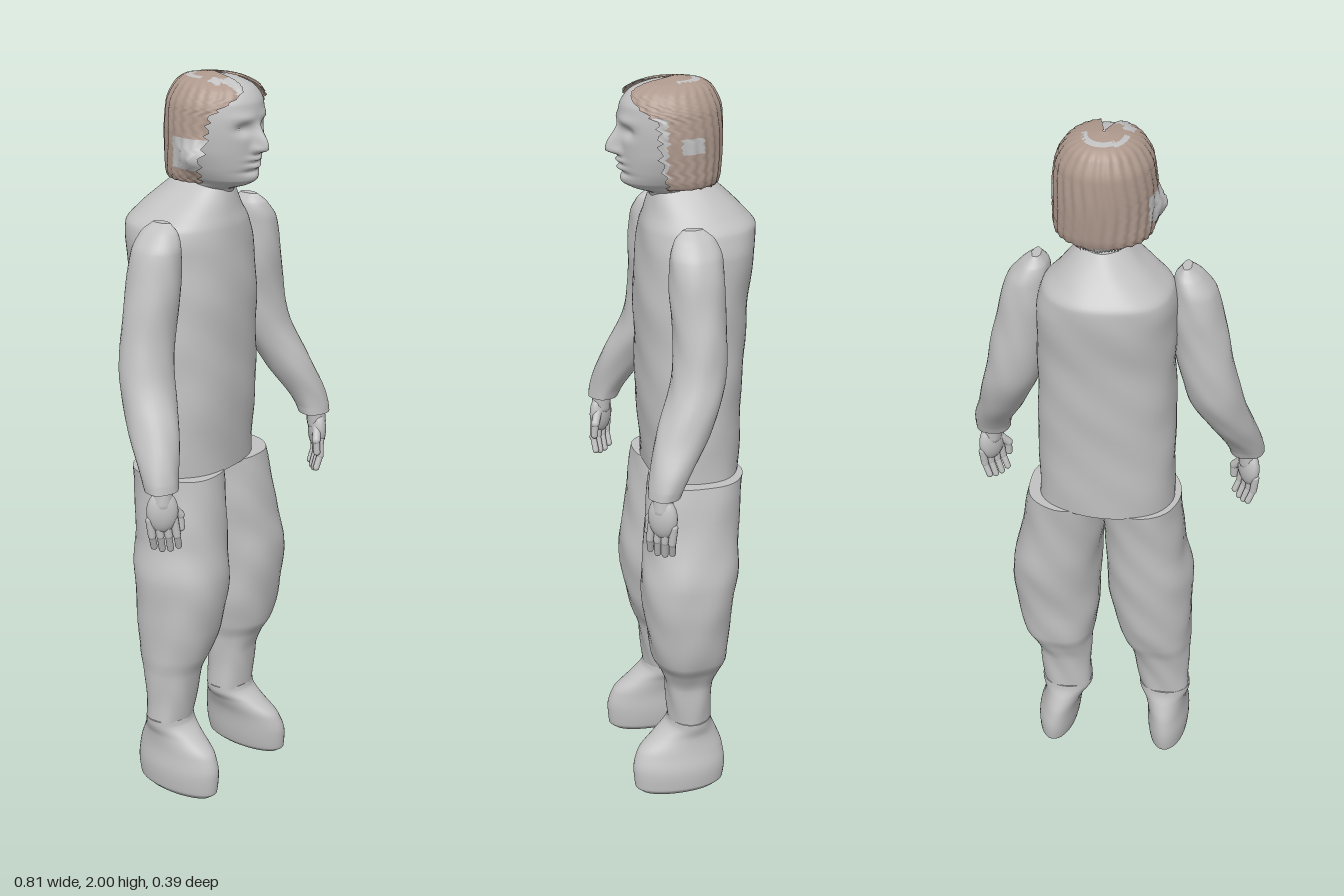
import * as THREE from 'three';

const cloth = new THREE.MeshStandardMaterial({ color: 0xc2c2c2 });
cloth.name = 'lightGrey';
const greyOpen = new THREE.MeshStandardMaterial({ color: 0xc2c2c2, side: THREE.DoubleSide });
greyOpen.name = 'lightGreyPatch';
const hairBrown = new THREE.MeshStandardMaterial({ color: 0xae998d, side: THREE.DoubleSide });
hairBrown.name = 'hairBrown';

// Smooth, overshoot-limited interpolation of rows [y, centreX, halfWidth, frontZ, backZ]
function sampleRows(rows, steps) {
  const slope = (i, k) => {
    const d = (a, b) => (rows[b][k] - rows[a][k]) / (rows[b][0] - rows[a][0]);
    if (i === 0) return d(0, 1);
    if (i === rows.length - 1) return d(i - 1, i);
    const l = d(i - 1, i), r = d(i, i + 1);
    return l * r <= 0 ? 0 : (2 * l * r) / (l + r);
  };
  const out = [];
  for (let i = 0; i < rows.length - 1; i++) {
    const A = rows[i], B = rows[i + 1], h = B[0] - A[0];
    for (let s = i ? 1 : 0; s <= steps; s++) {
      const t = s / steps, t2 = t * t, t3 = t2 * t;
      out.push(A.map((a, k) => k === 0 ? a + h * t
        : (2 * t3 - 3 * t2 + 1) * a + (t3 - 2 * t2 + t) * h * slope(i, k)
          + (3 * t2 - 2 * t3) * B[k] + (t3 - t2) * h * slope(i + 1, k)));
    }
  }
  return out;
}

// Point on a ring; angle 0 faces the front, power above 2 makes the ring boxier
function ringPoint([y, cx, rx, zf, zb], a, power = 2) {
  const f = (v) => Math.sign(v) * Math.abs(v) ** (2 / power);
  return new THREE.Vector3(cx + rx * f(Math.sin(a)), y, (zf + zb) / 2 + (zf - zb) / 2 * f(Math.cos(a)));
}

// Closed body through stacked rings, with flat end caps and an optional surface rule
function loft(name, rows, { sides = 40, steps = 6, power = 2, rule } = {}) {
  const rings = sampleRows(rows, steps), pos = [], idx = [];
  const add = (p) => pos.push(p.x, p.y, p.z) / 3 - 1;
  rings.forEach((r) => {
    for (let j = 0; j < sides; j++) {
      const a = j / sides * Math.PI * 2, p = ringPoint(r, a, power);
      if (rule) rule(p, a);
      add(p);
    }
  });
  for (let i = 0; i < rings.length - 1; i++) for (let j = 0; j < sides; j++) {
    const a = i * sides + j, b = i * sides + (j + 1) % sides;
    idx.push(a, b, a + sides, b, b + sides, a + sides);
  }
  [0, rings.length - 1].forEach((i) => {
    const r = rings[i], c = add(new THREE.Vector3(r[1], r[0], (r[3] + r[4]) / 2)), start = c + 1;
    for (let j = 0; j < sides; j++) add(new THREE.Vector3().fromArray(pos, (i * sides + j) * 3));
    for (let j = 0; j < sides; j++) {
      const a = start + j, b = start + (j + 1) % sides;
      idx.push(c, ...(i ? [a, b] : [b, a]));
    }
  });
  const g = new THREE.BufferGeometry();
  g.setAttribute('position', new THREE.Float32BufferAttribute(pos, 3));
  g.setIndex(idx);
  g.computeVertexNormals();
  const m = new THREE.Mesh(g, cloth);
  m.name = name;
  return m;
}

// Soft cloth folds
const folds = (amp) => (p, a) => {
  const w = amp * Math.sin(p.y * 31 + 2 * Math.sin(a * 2)) * Math.sin(a * 3 + p.y * 9);
  p.x += w * Math.sin(a);
  p.z += w * Math.cos(a);
};

const bell = (v, c, w) => Math.exp(-(((v - c) / w) ** 2));

// Nose, brow, eye sockets, lips and chin pushed out of the head
function faceRule(p) {
  if (p.z < 0.06) return;
  const x = Math.abs(p.x - 0.015), y = p.y;
  const bridge = THREE.MathUtils.smoothstep(1.895 - y, 0, 0.07) * THREE.MathUtils.smoothstep(y, 1.802, 1.82);
  p.z += 0.036 * bridge * bell(x, 0, 0.014)
    + 0.008 * bell(x, 0.016, 0.008) * bell(y, 1.818, 0.01)
    - 0.014 * bell(x, 0.042, 0.022) * bell(y, 1.872, 0.015)
    + 0.005 * bell(x, 0.04, 0.03) * bell(y, 1.9, 0.012)
    + bell(x, 0, 0.026) * (0.012 * bell(y, 1.794, 0.007) + 0.011 * bell(y, 1.774, 0.007) - 0.005 * bell(y, 1.784, 0.004))
    + 0.006 * bell(x, 0, 0.03) * bell(y, 1.742, 0.014)
    - 0.006 * bell(x, 0, 0.04) * bell(y, 1.76, 0.007);
}

// Places where the hair shell is bare
function isBare({ x, y, z }) {
  const arch = Math.hypot((x - 0.015) / 0.055, (z - 0.025) / 0.07);
  if (y > 1.93) {
    return (z < 0.025 && arch > 0.78 && arch < 1.06)
      || (x > -0.05 && x < -0.02 && z > 0.05 && z < 0.085)
      || (x > -0.035 && x < 0.03 && z > 0.08);
  }
  return (x > 0.08 && y > 1.825 && y < 1.867 && z > -0.03 && z < 0.03)
    || (x > 0.09 && z > 0.065 && y > 1.76 && y < 1.92)
    || (x < -0.08 && y > 1.775 && y < 1.85 && z > -0.02)
    || (z < -0.05 && y < 1.735 && x > -0.05 && x < 0.04);
}

// Bobbed hair: an open shell with a gap for the face and a ragged hem
function makeHair() {
  const rings = sampleRows([
    [1.712, 0.02, 0.112, 0.11, -0.085], [1.76, 0.02, 0.128, 0.14, -0.1], [1.85, 0.02, 0.13, 0.165, -0.105],
    [1.92, 0.02, 0.123, 0.168, -0.102], [1.965, 0.02, 0.1, 0.15, -0.085], [1.988, 0.02, 0.068, 0.105, -0.06],
    [2.0, 0.02, 0.003, 0.025, 0.018]], 8);
  const n = 120, pts = [], brown = [], bare = [];
  rings.forEach((r, i) => {
    const y = r[0];
    const edge = (1.15 - 0.85 * THREE.MathUtils.smoothstep(y, 1.9, 1.985)) * (1 + 0.06 * Math.sin(i * 2.3));
    for (let j = 0; j <= n; j++) {
      const a = edge + (Math.PI * 2 - 2 * edge) * j / n, p = ringPoint(r, a);
      const strand = 0.002 * Math.sin(a * 26 + Math.sin(y * 30)) * Math.min(1, (2 - y) / 0.03);
      p.x += strand * Math.sin(a);
      p.z += strand * Math.cos(a);
      if (p.x < -0.05 && p.z > 0) p.x -= 0.028 * bell(y, 1.8, 0.035) * bell(p.z, 0.06, 0.04);
      if (i < 4) p.y += 0.014 * (1 - i / 4) * Math.abs(Math.sin(j * 1.7)) + 0.02 * (1 - i / 4) * Math.abs(Math.sin(a));
      pts.push(p);
    }
  });
  for (let i = 0; i < rings.length - 1; i++) for (let j = 0; j < n; j++) {
    const a = i * (n + 1) + j, c = a + n + 1;
    const mid = pts[a].clone().add(pts[c + 1]).multiplyScalar(0.5);
    (isBare(mid) ? bare : brown).push(a, a + 1, c, a + 1, c + 1, c);
  }
  const g = new THREE.BufferGeometry().setFromPoints(pts);
  g.setIndex([...brown, ...bare]);
  g.addGroup(0, brown.length, 0);
  g.addGroup(brown.length, bare.length, 1);
  g.computeVertexNormals();
  const m = new THREE.Mesh(g, [hairBrown, greyOpen]);
  m.name = 'hair';
  return m;
}

function capsule(name, a, b, r) {
  const A = new THREE.Vector3(...a), B = new THREE.Vector3(...b), d = B.clone().sub(A);
  const m = new THREE.Mesh(new THREE.CapsuleGeometry(r, d.length(), 5, 12), cloth);
  m.position.copy(A).add(B).multiplyScalar(0.5);
  m.quaternion.setFromUnitVectors(new THREE.Vector3(0, 1, 0), d.normalize());
  m.name = name;
  return m;
}

// s is +1 for the left side, -1 for the right
function makeArm(s) {
  const arm = new THREE.Group();
  arm.name = s > 0 ? 'leftArm' : 'rightArm';
  arm.add(loft('sleeve', [
    [1.005, 0.357, 0.048, 0.175, 0.092], [1.03, 0.354, 0.05, 0.172, 0.08], [1.15, 0.312, 0.062, 0.14, 0.0],
    [1.28, 0.268, 0.074, 0.09, -0.05], [1.4, 0.243, 0.074, 0.078, -0.06], [1.5, 0.225, 0.07, 0.083, -0.06],
    [1.58, 0.215, 0.057, 0.08, -0.055], [1.625, 0.2, 0.037, 0.065, -0.04], [1.65, 0.193, 0.012, 0.04, -0.012]]
    .map(([y, x, ...r]) => [y, x * s, ...r]), { sides: 32, rule: folds(0.002) }));
  // Hand
  const palm = new THREE.Mesh(new THREE.SphereGeometry(1, 20, 14), cloth);
  palm.name = 'palm';
  palm.scale.set(0.024, 0.058, 0.041);
  palm.position.set(0.364 * s, 0.948, 0.138);
  palm.rotation.y = -0.7 * s;
  arm.add(palm, capsule('wrist', [0.357 * s, 1.02, 0.134], [0.362 * s, 0.97, 0.137], 0.027));
  for (let i = 0; i < 4; i++) {
    const t = i / 3, x = 0.387 - 0.042 * t, z = 0.114 + 0.048 * t, drop = 0.02 * Math.sin(Math.PI * (0.2 + 0.6 * t));
    arm.add(capsule('finger', [x * s, 0.925, z], [(x - 0.005) * s, 0.88, z + 0.004], 0.0105),
      capsule('fingertip', [(x - 0.005) * s, 0.88, z + 0.004], [(x - 0.018) * s, 0.857 - drop, z], 0.009));
  }
  arm.add(capsule('thumb', [0.345 * s, 0.96, 0.15], [0.322 * s, 0.93, 0.163], 0.012),
    capsule('thumbTip', [0.322 * s, 0.93, 0.163], [0.322 * s, 0.895, 0.166], 0.01));
  return arm;
}

export function createModel() {
  const model = new THREE.Group();
  model.name = 'standingPerson';

  model.add(loft('torso', [
    [0.942, 0.005, 0.184, 0.1, -0.152], [1.2, 0.005, 0.184, 0.115, -0.162], [1.4, 0.005, 0.18, 0.118, -0.175],
    [1.55, 0.002, 0.18, 0.11, -0.192], [1.61, 0, 0.168, 0.103, -0.195], [1.65, 0.002, 0.13, 0.092, -0.168],
    [1.69, 0.008, 0.088, 0.082, -0.128], [1.722, 0.012, 0.058, 0.072, -0.092]],
  { sides: 64, power: 2.25, rule: folds(0.0025) }));
  model.add(makeArm(1), makeArm(-1));

  // Trousers, one leg slightly higher than the other
  model.add(loft('leftTrouserLeg', [
    [0.208, 0.13, 0.071, 0.065, -0.052], [0.32, 0.133, 0.074, 0.072, -0.06], [0.375, 0.143, 0.085, 0.09, -0.075],
    [0.42, 0.15, 0.103, 0.115, -0.09], [0.52, 0.155, 0.12, 0.13, -0.098], [0.66, 0.155, 0.125, 0.143, -0.118],
    [0.76, 0.138, 0.117, 0.132, -0.125], [0.945, 0.112, 0.11, 0.11, -0.143]], { power: 2.2, rule: folds(0.003) }));
  model.add(loft('rightTrouserLeg', [
    [0.23, -0.161, 0.071, 0.065, -0.052], [0.3, -0.155, 0.076, 0.073, -0.06], [0.37, -0.146, 0.084, 0.085, -0.07],
    [0.42, -0.136, 0.098, 0.105, -0.085], [0.5, -0.122, 0.11, 0.125, -0.102], [0.65, -0.112, 0.121, 0.143, -0.118],
    [0.76, -0.1, 0.112, 0.13, -0.125], [0.945, -0.088, 0.108, 0.11, -0.143]], { power: 2.2, rule: folds(0.003) }));

  // Soft boots
  const boot = [
    [0, 0.166, 0.04, 0.15, -0.06], [0.018, 0.164, 0.055, 0.17, -0.083], [0.07, 0.16, 0.06, 0.174, -0.09],
    [0.12, 0.15, 0.057, 0.16, -0.085], [0.165, 0.137, 0.061, 0.11, -0.07], [0.198, 0.13, 0.073, 0.07, -0.057],
    [0.213, 0.13, 0.074, 0.066, -0.055]];
  model.add(loft('leftBoot', boot));
  model.add(loft('rightBoot', boot.map(([y, x, ...r]) =>
    [0.01 + y * 1.05, -0.172 + (0.166 - x) * 0.3, ...r])));

  // Head
  const head = new THREE.Group();
  head.name = 'head';
  head.add(loft('face', [
    [1.66, 0.01, 0.056, 0.07, -0.06], [1.705, 0.013, 0.055, 0.085, -0.055], [1.722, 0.015, 0.062, 0.13, -0.06],
    [1.738, 0.015, 0.074, 0.15, -0.068], [1.77, 0.015, 0.09, 0.156, -0.08], [1.82, 0.015, 0.104, 0.16, -0.092],
    [1.88, 0.016, 0.109, 0.163, -0.094], [1.93, 0.018, 0.106, 0.158, -0.09], [1.963, 0.02, 0.088, 0.138, -0.074],
    [1.985, 0.02, 0.055, 0.094, -0.048], [1.995, 0.02, 0.004, 0.026, 0.018]],
  { sides: 128, steps: 10, rule: faceRule }));
  [-1, 1].forEach((s) => {
    const eye = new THREE.Mesh(new THREE.SphereGeometry(0.013, 16, 12), cloth);
    eye.name = s > 0 ? 'leftEye' : 'rightEye';
    eye.scale.set(1.15, 0.65, 0.6);
    eye.position.set(0.015 + 0.041 * s, 1.871, 0.131);
    head.add(eye);
  });
  head.add(makeHair());
  model.add(head);
  return model;
}
